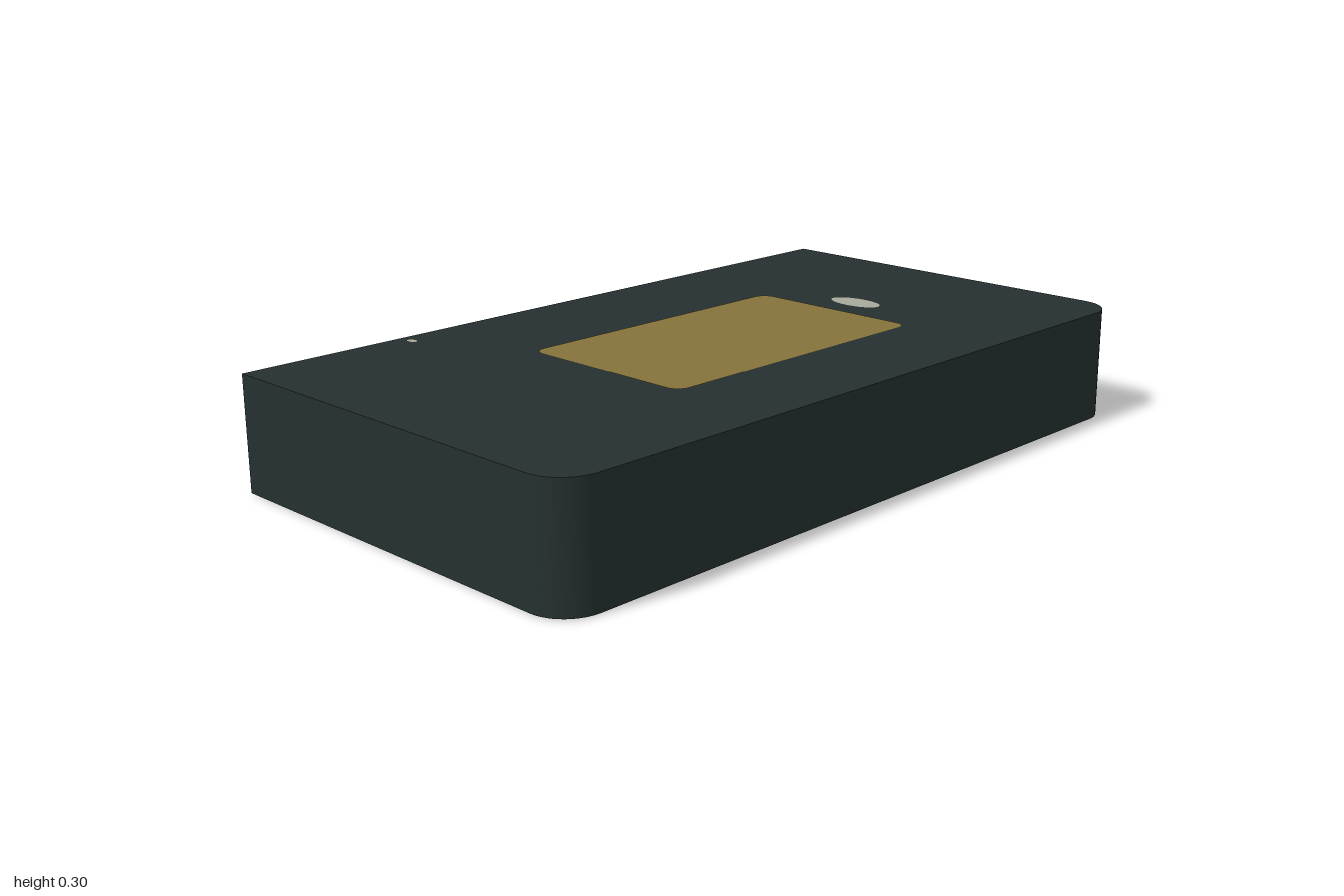
import * as THREE from 'three';
import { toCreasedNormals } from 'three/addons/utils/BufferGeometryUtils.js';

const W = 1.12, D = 2, H = 0.3, LIFT = 0.002;

function material(name, color) {
  const m = new THREE.MeshStandardMaterial({ color });
  m.name = name;
  return m;
}

// Rectangle with separate radii for its left and right corners
function roundedRect(x0, x1, y0, y1, rLeft, rRight) {
  const s = new THREE.Shape();
  const q = Math.PI / 2;
  s.moveTo(x0 + rLeft, y0);
  s.lineTo(x1 - rRight, y0);
  s.absarc(x1 - rRight, y0 + rRight, rRight, -q, 0);
  s.lineTo(x1, y1 - rRight);
  s.absarc(x1 - rRight, y1 - rRight, rRight, 0, q);
  s.lineTo(x0 + rLeft, y1);
  if (rLeft > 0) {
    s.absarc(x0 + rLeft, y1 - rLeft, rLeft, q, 2 * q);
    s.lineTo(x0, y0 + rLeft);
    s.absarc(x0 + rLeft, y0 + rLeft, rLeft, 2 * q, 3 * q);
  } else {
    s.lineTo(x0, y0);
  }
  return s;
}

function ellipse(rx, ry) {
  const s = new THREE.Shape();
  s.absellipse(0, 0, rx, ry, 0, Math.PI * 2);
  return s;
}

export function createModel() {
  const group = new THREE.Group();
  const cover = material('dark green cover', 0x253030);
  const gold = material('gold', 0x85733a);
  const silver = material('pale grey', 0xa8a99c);

  function add(name, geometry, mat, x = 0, y = 0, z = 0) {
    const mesh = new THREE.Mesh(geometry, mat);
    mesh.name = name;
    mesh.position.set(x, y, z);
    group.add(mesh);
  }

  // Slab body: square along the left edge, rounded on the right
  const slab = new THREE.ExtrudeGeometry(
    roundedRect(-W / 2, W / 2, -D / 2, D / 2, 0, 0.1),
    { depth: H - 2 * LIFT, bevelEnabled: false, curveSegments: 6 });
  slab.rotateX(-Math.PI / 2);
  add('body', toCreasedNormals(slab, 0.6), cover, 0, LIFT, 0);

  // Thin inlays on the top face
  const inlay = (shape) => new THREE.ShapeGeometry(shape, 12).rotateX(-Math.PI / 2);
  add('topPanel', inlay(roundedRect(-0.25, 0.25, -0.42, 0.42, 0.035, 0.035)), gold, 0.03, H, -0.02);
  add('topOval', inlay(ellipse(0.08, 0.043)), silver, 0.022, H, -0.545);
  add('topDot', inlay(ellipse(0.017, 0.012)), silver, -0.515, H, 0.545);

  // Round pads underneath
  for (const z of [-0.47, 0.5]) {
    const pad = new THREE.CircleGeometry(0.18, 32).rotateX(Math.PI / 2);
    add('bottomPad', pad, silver, 0.04, 0, z);
  }
  return group;
}
